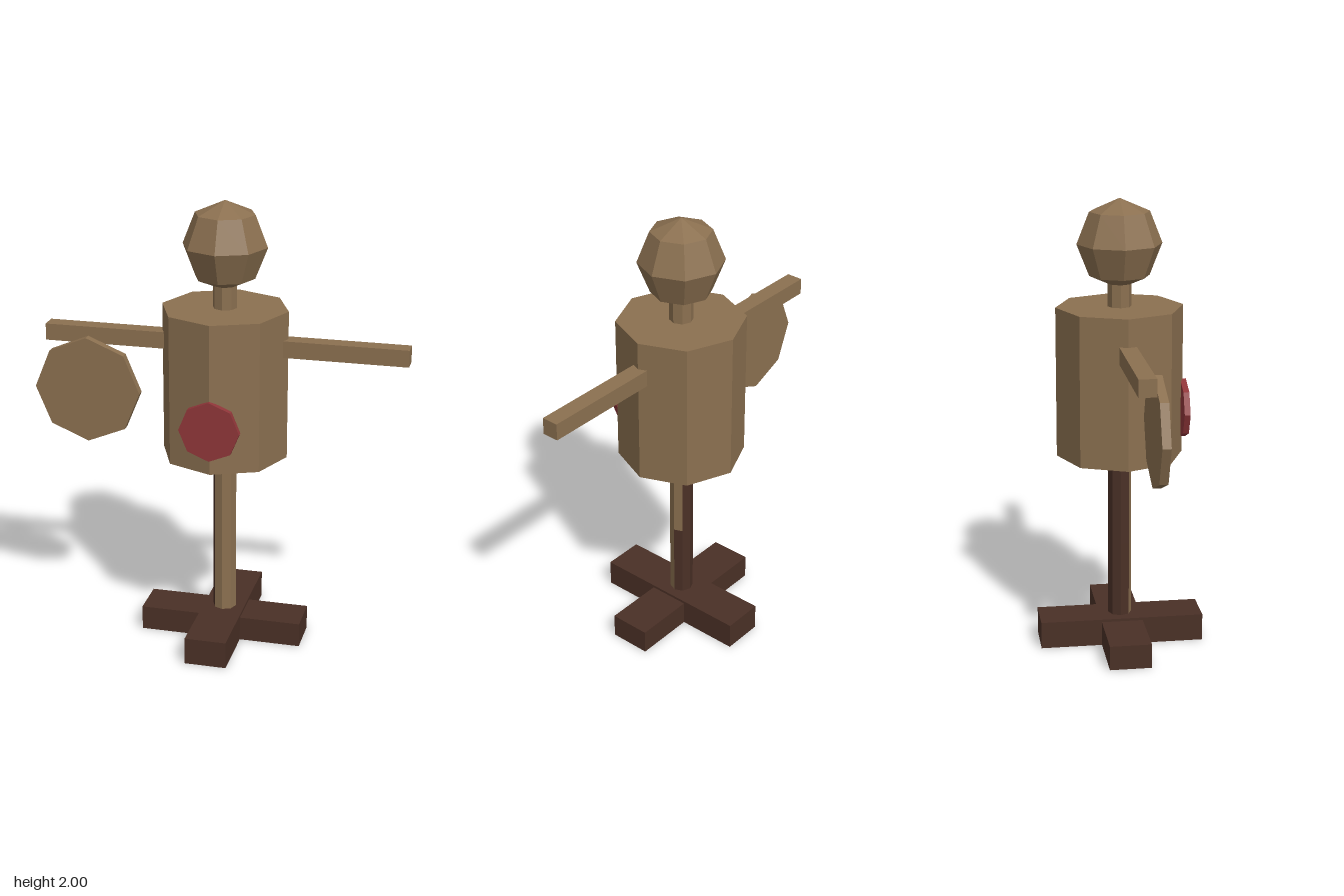
import * as THREE from 'three';

const X = 0.018; // the post axis

export function createModel() {
  const group = new THREE.Group();
  const material = (name, color) => {
    const m = new THREE.MeshStandardMaterial({ color, flatShading: true });
    m.name = name;
    return m;
  };
  const straw = material('straw tan', 0x8b7050);
  const wood = material('dark wood', 0x4a3026);
  const red = material('target red', 0x8f3639);

  const add = (name, geometry, mat, x, y, z) => {
    const mesh = new THREE.Mesh(geometry, mat);
    mesh.name = name;
    mesh.position.set(x, y, z);
    group.add(mesh);
    return mesh;
  };
  const box = (name, mat, w, h, d, x, y, z) =>
    add(name, new THREE.BoxGeometry(w, h, d), mat, x, y, z);
  const octagon = (r, h) => new THREE.CylinderGeometry(r, r, h, 8);
  // upright eight-sided plate facing the front
  const disc = (name, mat, r, depth, x, y, z) =>
    add(name, octagon(r, depth).rotateX(Math.PI / 2), mat, x, y, z);

  // crossed feet
  box('footAcross', wood, 0.73, 0.11, 0.185, X, 0.055, 0);
  box('footLengthwise', wood, 0.185, 0.122, 0.73, X, 0.061, 0);

  // post: tan on its front panels, dark wood on the rest
  const postGeometry = new THREE.CylinderGeometry(0.052, 0.052, 0.83, 8, 2, true, -Math.PI / 4);
  const tanIndices = 7 * 6;
  postGeometry.clearGroups();
  postGeometry.addGroup(0, tanIndices, 0);
  postGeometry.addGroup(tanIndices, postGeometry.index.count - tanIndices, 1);
  add('post', postGeometry, [straw, wood], X, 0.465, 0);

  // body, neck and head
  add('body', octagon(0.278, 0.662), straw, X, 1.204, 0);
  add('neck', octagon(0.052, 0.2), straw, X, 1.58, 0);
  const head = new THREE.SphereGeometry(0.185, 8, 4).scale(1, 1.05, 1);
  add('head', head, straw, X, 1.806, 0);

  // crossbar arms, shield and chest target
  box('arms', straw, 1.6, 0.074, 0.074, X, 1.377, 0);
  disc('shield', straw, 0.238, 0.037, -0.582, 1.14, 0.071);
  disc('target', red, 0.132, 0.026, X, 1.071, 0.28);

  return group;
}
